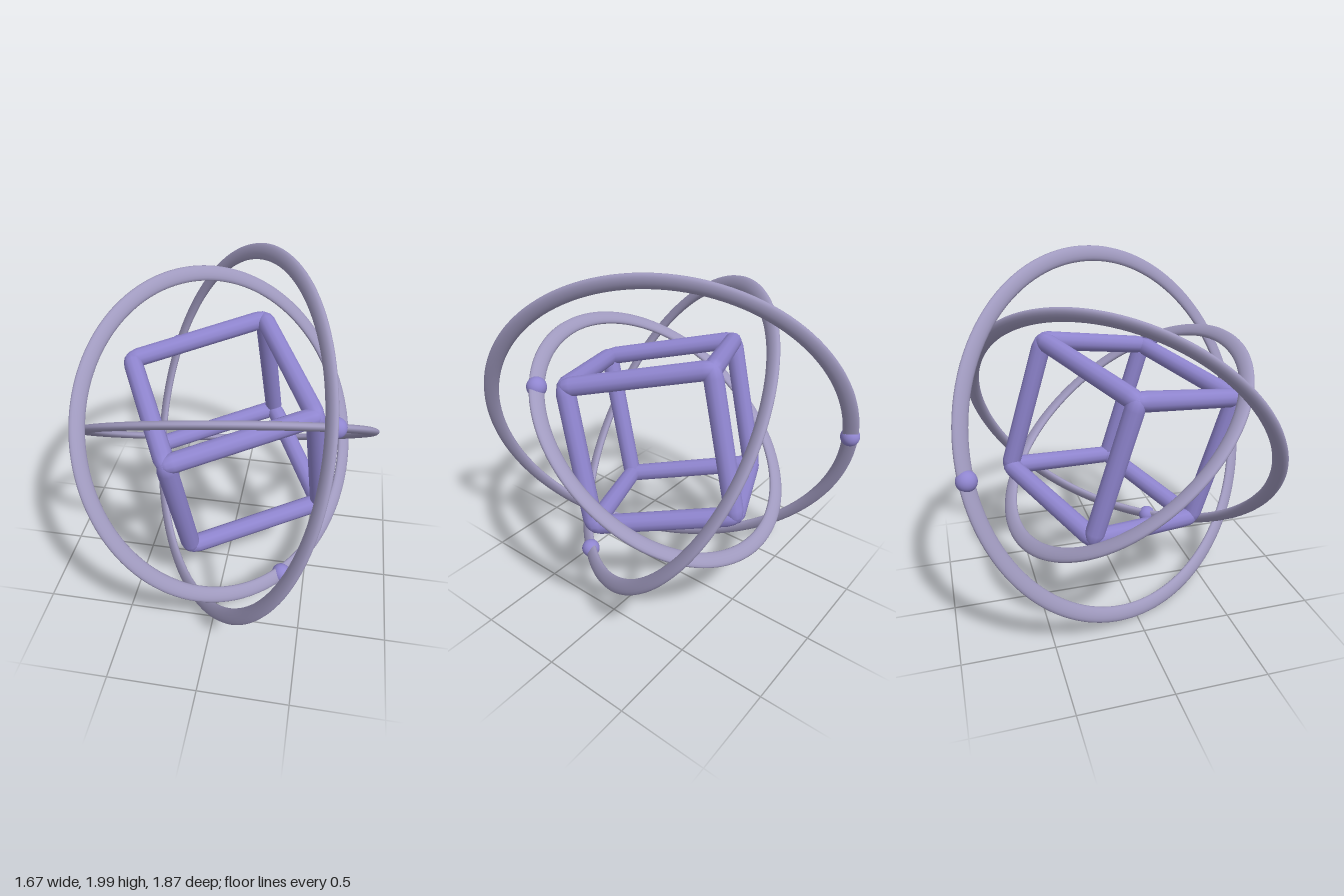
import * as THREE from 'three';

const strutPaint = new THREE.MeshStandardMaterial({ color: 0x9086d0 });
strutPaint.name = 'violet';
const ringPaint = new THREE.MeshStandardMaterial({ color: 0xa09abf });
ringPaint.name = 'pale lavender';

const SIDE = 0.775;        // cube edge length, corner to corner
const STRUT_RADIUS = 0.052;
const RING_TUBE = 0.043;

// Ring radius, axis of the ring, and the bead riding on it
const RINGS = [
  { name: 'outerRing', radius: 1.008, axis: [-0.825, 0.322, 0.462], bead: [-0.48, 0.045, -0.88] },
  { name: 'middleRing', radius: 0.902, axis: [0.67, 0.524, 0.524], bead: [0.37, -0.77, 0.295] },
  { name: 'innerRing', radius: 0.796, axis: [-0.1, 0.778, -0.62], bead: [0.605, 0.385, 0.385] },
];

// A rod along y whose rounded ends taper into the corners
function strutGeometry() {
  const h = SIDE / 2;
  const end = [[0, 0.036], [0.016, 0.033], [0.032, 0.021], [0.044, 0], [STRUT_RADIUS, -0.04]];
  const profile = [
    ...end.map(([r, y]) => new THREE.Vector2(r, -h - y)),
    ...end.slice().reverse().map(([r, y]) => new THREE.Vector2(r, h + y)),
  ];
  return new THREE.LatheGeometry(profile, 12);
}

function createCubeFrame() {
  const frame = new THREE.Group();
  frame.name = 'cubeFrame';
  const geometry = strutGeometry();
  const h = SIDE / 2;
  const turns = [[0, 0, -Math.PI / 2], [0, 0, 0], [Math.PI / 2, 0, 0]];
  // Four parallel struts for each of the three directions
  for (let dir = 0; dir < 3; dir++) {
    for (const a of [-h, h]) {
      for (const b of [-h, h]) {
        const strut = new THREE.Mesh(geometry, strutPaint);
        strut.name = 'strut';
        strut.rotation.set(...turns[dir]);
        strut.position.setComponent((dir + 1) % 3, a);
        strut.position.setComponent((dir + 2) % 3, b);
        frame.add(strut);
      }
    }
  }
  // Tilt of the cube, built from two of its edge directions
  const x = new THREE.Vector3(0.891, 0.188, -0.414).normalize();
  const z = new THREE.Vector3().crossVectors(x, new THREE.Vector3(-0.078, 0.959, 0.272)).normalize();
  const y = new THREE.Vector3().crossVectors(z, x);
  frame.quaternion.setFromRotationMatrix(new THREE.Matrix4().makeBasis(x, y, z));
  return frame;
}

function createRing({ name, radius, axis, bead }) {
  const group = new THREE.Group();
  group.name = name + 'Assembly';

  // Flattened band
  const geometry = new THREE.TorusGeometry(radius, RING_TUBE, 16, 128);
  geometry.scale(1, 1, 0.5);
  const ring = new THREE.Mesh(geometry, ringPaint);
  ring.name = name;
  ring.quaternion.setFromUnitVectors(
    new THREE.Vector3(0, 0, 1), new THREE.Vector3(...axis).normalize());

  const ball = new THREE.Mesh(new THREE.SphereGeometry(0.053, 24, 16), strutPaint);
  ball.name = name + 'Bead';
  ball.position.set(...bead).setLength(radius);

  group.add(ring, ball);
  return group;
}

export function createModel() {
  const model = new THREE.Group();
  model.name = 'orbitingCube';
  const body = new THREE.Group();
  body.name = 'cubeAndRings';
  body.position.y = 1;
  body.add(createCubeFrame(), ...RINGS.map(createRing));
  model.add(body);
  return model;
}
